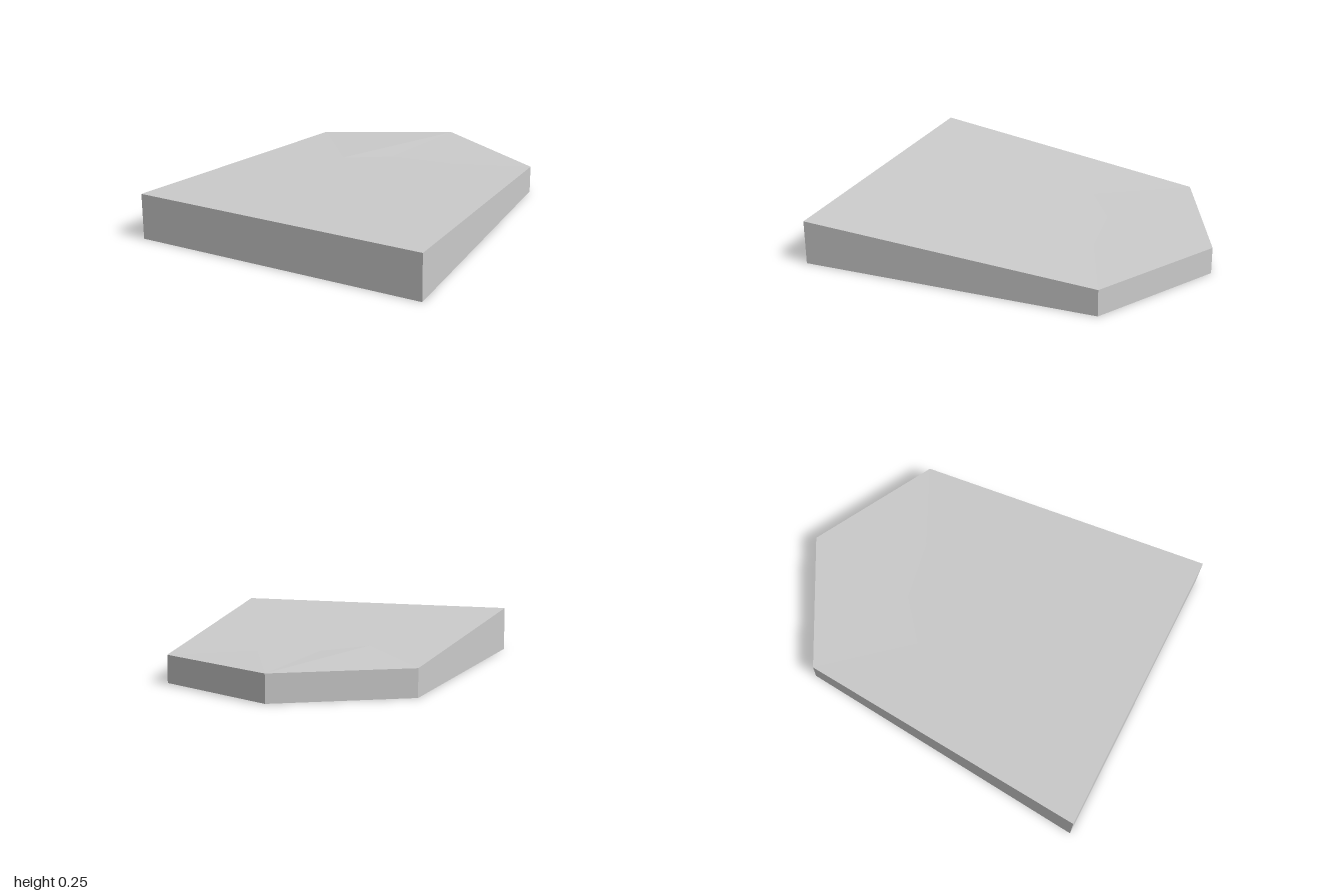
import * as THREE from 'three';

// Height of the sloping top face at depth z
const slope = (z) => 0.189 + 0.061 * z;

export function createModel() {
  const group = new THREE.Group();
  const material = new THREE.MeshStandardMaterial({ color: 0xcccccc, flatShading: true });

  // Five-sided plan as [x, z], anticlockwise seen from above
  const plan = [[-0.815, 1], [0.815, 1], [0.675, -0.635], [0, -1], [-0.675, -0.635]];
  const base = plan.map(([x, z]) => new THREE.Vector3(x, 0, z));
  const rim = plan.map(([x, z]) => new THREE.Vector3(x, Math.max(slope(z), 0.15), z));
  const [frontRight, frontLeft, shoulderLeft, tip, shoulderRight] = rim;

  // Crease where the slope meets the slightly raised tip
  const crease = [
    shoulderLeft,
    ...[[0.25, -0.43], [-0.08, -0.37], [-0.3, -0.19]]
      .map(([x, z]) => new THREE.Vector3(x, slope(z), z)),
    shoulderRight,
  ];

  const addFaces = (name, triangles) => {
    const geometry = new THREE.BufferGeometry().setFromPoints(triangles.flat());
    geometry.computeVertexNormals();
    const mesh = new THREE.Mesh(geometry, material);
    mesh.name = name;
    group.add(mesh);
  };

  // Main slope fans out from a front corner, the tip facets from the tip
  const slopeFaces = [[frontRight, frontLeft, shoulderLeft]];
  const tipFaces = [];
  for (let i = 0; i < crease.length - 1; i++) {
    slopeFaces.push([frontRight, crease[i], crease[i + 1]]);
    tipFaces.push([tip, crease[i + 1], crease[i]]);
  }
  addFaces('topSlope', slopeFaces);
  addFaces('topTip', tipFaces);

  // Upright walls
  const walls = [];
  base.forEach((a, i) => {
    const j = (i + 1) % base.length;
    walls.push([a, base[j], rim[j]], [a, rim[j], rim[i]]);
  });
  addFaces('sideWalls', walls);

  // Flat underside
  const underside = [];
  for (let i = 1; i < base.length - 1; i++) underside.push([base[0], base[i + 1], base[i]]);
  addFaces('underside', underside);

  group.name = 'wedgeTile';
  return group;
}
